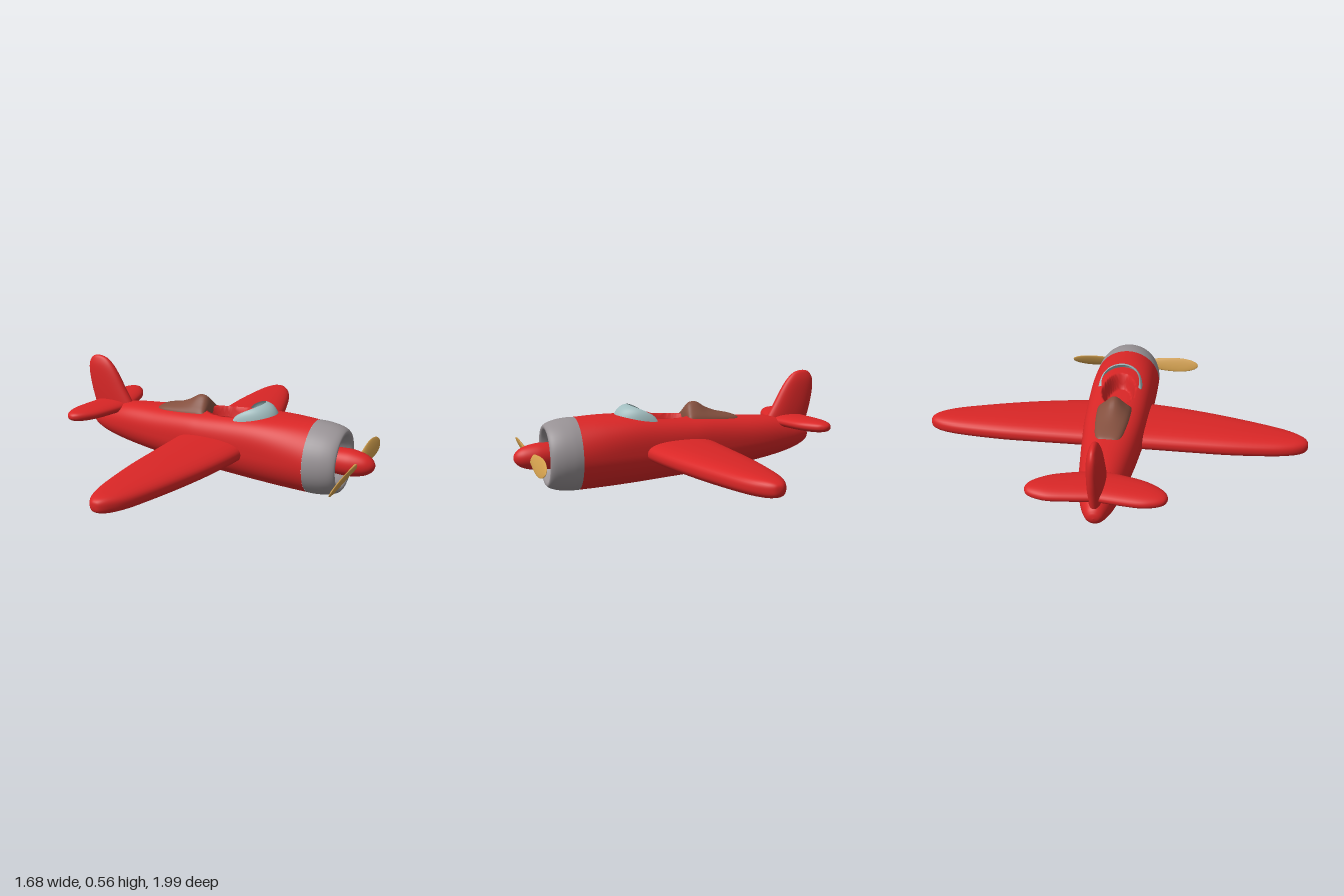
import * as THREE from 'three';

const { PI, sin, cos, abs, exp } = Math;
const V = (x, y, z) => new THREE.Vector3(x, y, z);
const RED = 0xd92626, GREY = 0x989295, BROWN = 0x84503f, GLASS = 0xa0bcbe, WOOD = 0xcf9d4c;

function part(name, geometry, color, side = THREE.FrontSide) {
  const mesh = new THREE.Mesh(geometry, new THREE.MeshStandardMaterial({ color, side }));
  mesh.name = name;
  return mesh;
}

// Smooth curve through table rows, column by column
function refine(rows, steps) {
  const at = i => rows[Math.min(Math.max(i, 0), rows.length - 1)];
  const out = [];
  for (let i = 0; i < rows.length - 1; i++) {
    for (let k = 0; k < steps; k++) {
      const t = k / steps;
      out.push(rows[i].map((b, c) => {
        const a = at(i - 1)[c], d = at(i + 1)[c], e = at(i + 2)[c];
        return b + 0.5 * t * (d - a + t * (2 * a - 5 * b + 4 * d - e + t * (3 * (b - d) + e - a)));
      }));
    }
  }
  out.push(rows[rows.length - 1]);
  return out;
}

// Skin over a list of cross-sections with equal point counts
function loft(rings, closed = true) {
  const n = rings[0].length, index = [];
  for (let i = 0; i < rings.length - 1; i++) {
    for (let j = 0; j < (closed ? n : n - 1); j++) {
      const k = (j + 1) % n, a = i * n + j, b = a + n, c = (i + 1) * n + k, d = i * n + k;
      index.push(a, b, c, a, c, d);
    }
  }
  const g = new THREE.BufferGeometry().setFromPoints(rings.flat());
  g.setIndex(index);
  g.computeVertexNormals();
  return g;
}

// Unit superellipse point [across, up] at an angle from the top
function oval(angle, n) {
  const s = sin(angle), c = cos(angle);
  const r = (abs(s) ** n + abs(c) ** n) ** (-1 / n);
  return [r * s, r * c];
}

const ring = (count, fn) => Array.from({ length: count }, (_, j) => fn(j / count * 2 * PI));

// Rounded panel growing along +z; rows: span, trailing x, leading x, half thickness
function panel(rows, n = 2.3) {
  return loft(refine(rows, 6).map(([s, trail, lead, h]) => ring(40, a => {
    const [p, q] = oval(a, n);
    return V((trail + lead) / 2 + p * (lead - trail) / 2, q * h, s);
  })));
}

// Turned part along the x axis; points: x, radius
function turned(points) {
  const g = new THREE.LatheGeometry(refine(points, 5).map(([x, r]) => new THREE.Vector2(Math.max(r, 0), x)), 56);
  return g.rotateZ(-PI / 2).translate(0, 0.19, 0);
}

function fuselage() {
  // x, top, bottom, half width, squareness of the upper half
  const rows = [
    [-0.815, 0.2, 0.2, 0, 2], [-0.807, 0.225, 0.175, 0.028, 2], [-0.78, 0.25, 0.15, 0.05, 2],
    [-0.7, 0.285, 0.118, 0.08, 2.1], [-0.56, 0.316, 0.087, 0.11, 2.3], [-0.35, 0.33, 0.057, 0.137, 2.6],
    [-0.15, 0.345, 0.039, 0.158, 3], [-0.05, 0.352, 0.032, 0.166, 3], [0.1, 0.363, 0.023, 0.173, 3],
    [0.25, 0.373, 0.014, 0.179, 2.9], [0.4, 0.378, 0.008, 0.184, 2.4], [0.53, 0.375, 0.005, 0.185, 2]];
  return loft(refine(rows, 14).map(([x, top, bottom, w, n]) => ring(128, a => {
    const [p, q] = oval(a, cos(a) > 0 ? n : 2);
    const z = -p * w;
    let y = (top + bottom) / 2 + q * (top - bottom) / 2;
    // Sunken cockpit
    const e = ((x - 0.085) / 0.16) ** 2 + (z / 0.085) ** 2;
    if (q > 0) y -= 0.08 * (1 - THREE.MathUtils.smoothstep(e, 0.7, 1));
    return V(x, y, z);
  })));
}

function headrest() {
  // x, base top, half width, height of the central bump
  const rows = [
    [-0.372, 0.315, 0.03, 0], [-0.36, 0.332, 0.055, 0], [-0.32, 0.343, 0.07, 0.004],
    [-0.24, 0.352, 0.082, 0.014], [-0.18, 0.358, 0.088, 0.032], [-0.13, 0.362, 0.091, 0.057],
    [-0.09, 0.364, 0.093, 0.052], [-0.068, 0.358, 0.092, 0.026], [-0.06, 0.34, 0.088, 0], [-0.062, 0.3, 0, 0]];
  return loft(refine(rows, 5).map(([x, top, w, bump]) => ring(48, a => {
    const [p, q] = oval(a, 3.5);
    const z = -p * w;
    return V(x, 0.3 + q * (top - 0.3) + (q > 0 ? bump * exp(-((z / 0.05) ** 2)) : 0), z);
  })));
}

// Curved screen leaning back over the front of the cockpit
function windscreen() {
  const rings = [];
  for (let i = 0; i <= 40; i++) {
    const a = (i / 20 - 1) * 1.7;
    const top = 0.35 + 0.075 * Math.max(cos(a * 0.92), 0) ** 0.6;
    rings.push(Array.from({ length: 13 }, (_, j) => {
      const v = j / 12 * PI / 2, m = 1 - cos(v);
      return V(
        0.15 + 0.18 * cos(a) + m * (-0.01 - 0.07 * cos(a)),
        0.33 + (top - 0.33) * sin(v),
        -(0.12 - 0.018 * m) * sin(a));
    }));
  }
  return loft(rings, false);
}

export function createModel() {
  const plane = new THREE.Group();
  plane.name = 'aeroplane';
  plane.add(
    part('fuselage', fuselage(), RED),
    part('headrest', headrest(), BROWN),
    part('windscreen', windscreen(), GLASS, THREE.DoubleSide));

  // Engine cowl with a rolled front lip and hollow inside
  plane.add(part('cowl', turned([
    [0.53, 0.185], [0.57, 0.185], [0.62, 0.179], [0.66, 0.168], [0.682, 0.155],
    [0.686, 0.143], [0.678, 0.13], [0.65, 0.115], [0.61, 0.1], [0.59, 0.07], [0.59, 0]]), GREY));
  plane.add(part('spinner', turned([
    [0.585, 0.062], [0.69, 0.068], [0.74, 0.065], [0.79, 0.053], [0.82, 0.036], [0.836, 0.016], [0.84, 0]]), RED));

  const wing = panel([
    [0, -0.19, 0.215, 0.06], [0.2, -0.19, 0.2, 0.059], [0.4, -0.19, 0.165, 0.058], [0.6, -0.187, 0.115, 0.056],
    [0.8, -0.172, 0.055, 0.05], [0.9, -0.155, 0.015, 0.045], [0.96, -0.132, -0.025, 0.038],
    [0.99, -0.107, -0.058, 0.024], [0.996, -0.085, -0.085, 0]], 2.6);
  const tailplane = panel([
    [0, -0.79, -0.58, 0.034], [0.1, -0.802, -0.603, 0.034], [0.2, -0.81, -0.632, 0.033], [0.26, -0.8, -0.665, 0.03],
    [0.3, -0.782, -0.698, 0.023], [0.317, -0.76, -0.725, 0.012], [0.321, -0.742, -0.742, 0]]);
  const blade = panel([
    [0, -0.015, 0.015, 0.012], [0.08, -0.026, 0.026, 0.01], [0.2, -0.04, 0.04, 0.008], [0.29, -0.041, 0.041, 0.007],
    [0.35, -0.031, 0.031, 0.006], [0.382, -0.016, 0.016, 0.004], [0.392, 0, 0, 0]], 2).rotateZ(1.17);

  // Mirrored pairs
  for (const [label, turn] of [['Left', 0], ['Right', PI]]) {
    const add = (name, geometry, color, x, y, z) => {
      const mesh = part(name + label, geometry, color);
      mesh.rotation.x = turn;
      mesh.position.set(x, y, z);
      plane.add(mesh);
    };
    add('wing', wing, RED, 0, 0.193, 0);
    add('tailplane', tailplane, RED, 0, 0.286, 0);
    add('propellerBlade', blade, WOOD, 0.755, 0.192, 0.018);
  }

  // Upright tail fin
  const fin = panel([
    [0.24, -0.795, -0.53, 0.038], [0.3, -0.812, -0.56, 0.039], [0.38, -0.832, -0.606, 0.038],
    [0.46, -0.844, -0.65, 0.034], [0.51, -0.842, -0.684, 0.028], [0.543, -0.826, -0.718, 0.018],
    [0.557, -0.805, -0.75, 0.009], [0.561, -0.78, -0.78, 0]]).rotateX(-PI / 2);
  plane.add(part('tailFin', fin, RED));
  return plane;
}
